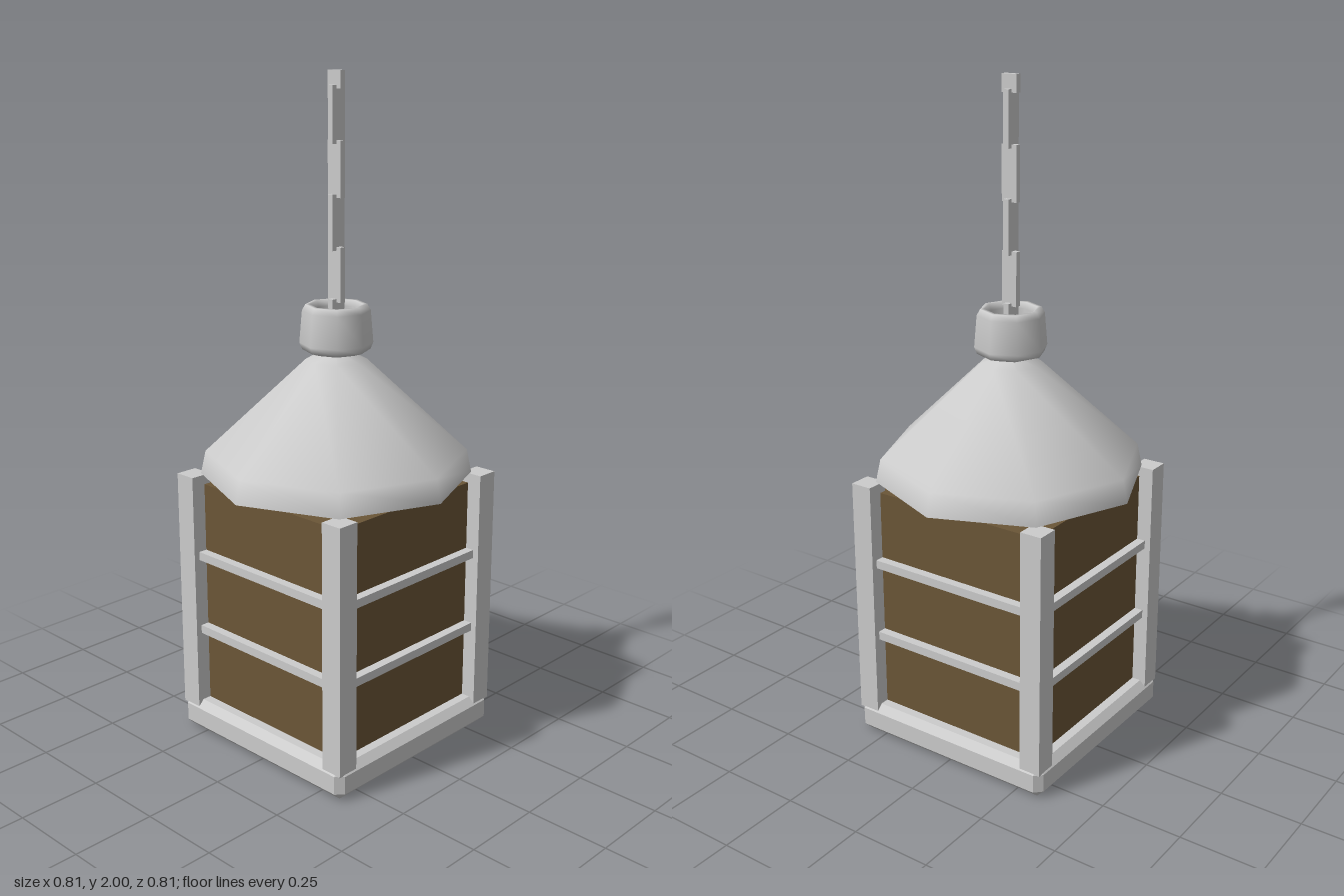
import * as THREE from 'three';
import { ConvexGeometry } from 'three/addons/geometries/ConvexGeometry.js';

const metal = new THREE.MeshStandardMaterial({ color: 0xcccccc });
const shell = new THREE.MeshStandardMaterial({ color: 0xcccccc, side: THREE.DoubleSide });
const amber = new THREE.MeshStandardMaterial({ color: 0x6b5637 });

export function createModel() {
  const lantern = new THREE.Group();
  lantern.name = 'hangingLantern';

  const add = (name, geometry, material, parent = lantern) => {
    const mesh = new THREE.Mesh(geometry, material);
    mesh.name = name;
    parent.add(mesh);
    return mesh;
  };
  // Box placed by its bottom centre
  const box = (name, w, h, d, x, y, z, material = metal, parent = lantern) =>
    add(name, new THREE.BoxGeometry(w, h, d).translate(x, y + h / 2, z), material, parent);
  // Eight-sided turned part with corners on the axes
  const turned = (name, profile, material) =>
    add(name, new THREE.LatheGeometry(profile.map(([r, y]) => new THREE.Vector2(r, y)), 8), material);

  // Base slab with every edge chamfered
  const half = 0.34, height = 0.1, bevel = 0.022;
  const corners = [];
  for (const sx of [-1, 1]) for (const sy of [-1, 1]) for (const sz of [-1, 1]) {
    for (let axis = 0; axis < 3; axis++) {
      const e = [half, height / 2, half].map((v, i) => (i === axis ? v : v - bevel));
      corners.push(new THREE.Vector3(sx * e[0], height / 2 + sy * e[1], sz * e[2]));
    }
  }
  add('base', new ConvexGeometry(corners), metal);

  // Corner posts
  for (const sx of [-1, 1]) for (const sz of [-1, 1]) {
    box('cornerPost', 0.068, 0.75, 0.068, sx * 0.302, 0.08, sz * 0.302);
  }

  // Panes
  box('panes', 0.58, 0.7, 0.58, 0, 0.1, 0, amber);

  // Two cross rails on each side
  for (let i = 0; i < 4; i++) {
    const side = new THREE.Group();
    side.name = 'sideRails';
    side.rotation.y = i * Math.PI / 2;
    for (const y of [0.325, 0.565]) box('crossRail', 0.54, 0.026, 0.035, 0, y, 0.3, metal, side);
    lantern.add(side);
  }

  // Roof
  turned('roof', [[0.405, 0.83], [0.39, 0.9], [0.09, 1.18], [0, 1.21]], shell);

  // Hollow collar on top of the roof
  turned('collar', [
    [0.07, 1.2], [0.1, 1.21], [0.108, 1.23], [0.1, 1.325], [0.09, 1.343],
    [0.078, 1.343], [0.07, 1.325], [0.07, 1.2],
  ], shell);

  // Chain of flat links, alternately turned a quarter
  const chain = new THREE.Group();
  chain.name = 'chain';
  lantern.add(chain);
  for (let i = 0; i < 6; i++) {
    const y = 1.2 + i * 0.15;
    const h = Math.min(0.16, 2 - y);
    const [w, d] = i % 2 ? [0.05, 0.018] : [0.018, 0.05];
    box('chainLink', w, h, d, 0, y, 0, metal, chain);
  }

  return lantern;
}
